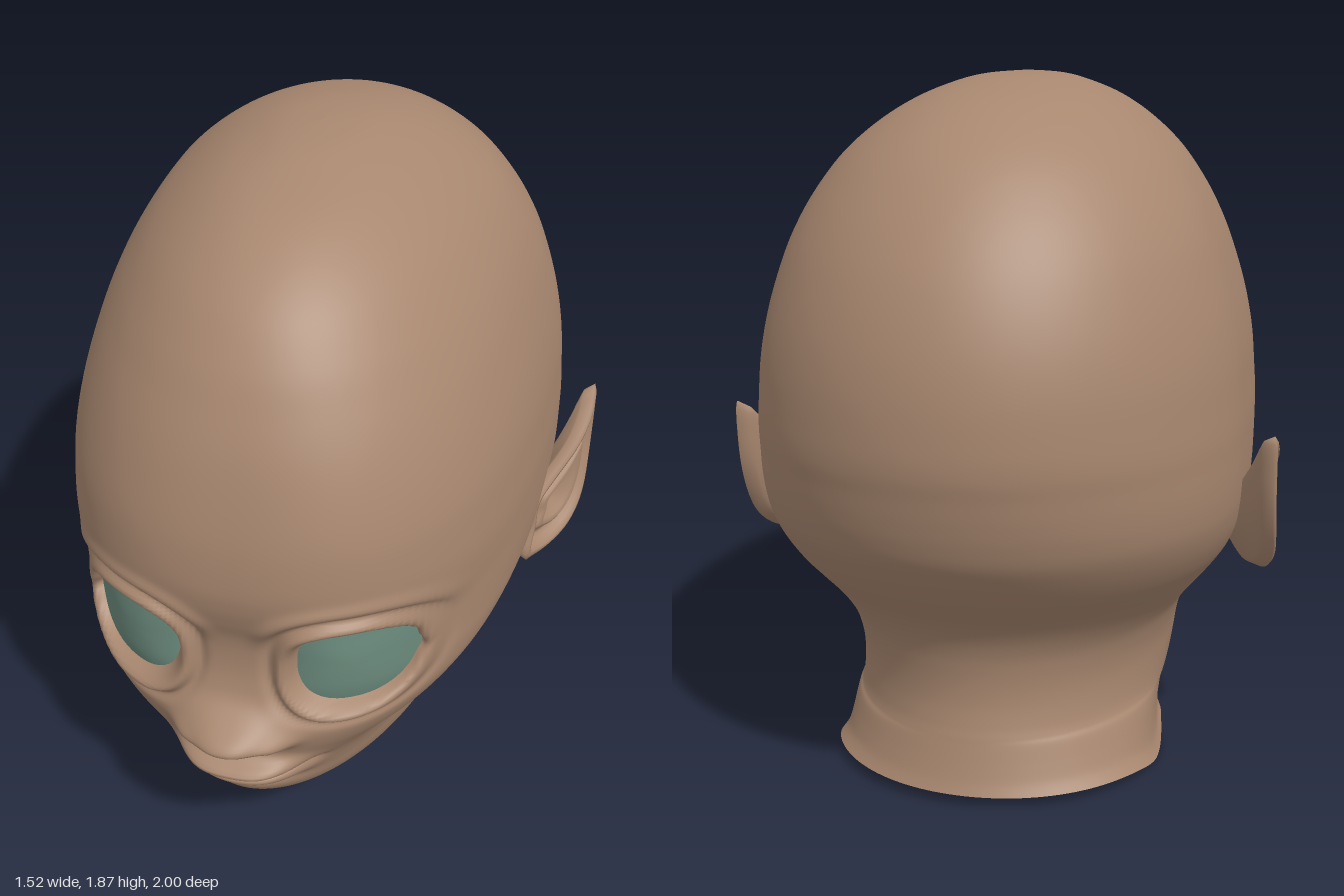
import * as THREE from 'three';

const { smoothstep } = THREE.MathUtils;
const bell = (v, s) => Math.exp(-((v / s) ** 2));

// Head cross-sections from crown to neck: height, front z, back z, half width
const SECTIONS = [
  [1.868, -0.02, -0.02, 0], [1.86, 0.13, -0.18, 0.1], [1.84, 0.25, -0.31, 0.175], [1.8, 0.42, -0.47, 0.265],
  [1.74, 0.55, -0.605, 0.355], [1.66, 0.655, -0.72, 0.44], [1.56, 0.735, -0.815, 0.51], [1.46, 0.79, -0.885, 0.56],
  [1.36, 0.835, -0.935, 0.595], [1.25, 0.87, -0.972, 0.625], [1.14, 0.895, -0.993, 0.645], [1.03, 0.905, -1, 0.655],
  [0.96, 0.9, -0.997, 0.66], [0.9, 0.885, -0.985, 0.661], [0.84, 0.865, -0.972, 0.661], [0.78, 0.858, -0.955, 0.659],
  [0.72, 0.86, -0.93, 0.653], [0.66, 0.872, -0.888, 0.641], [0.6, 0.887, -0.838, 0.618], [0.55, 0.892, -0.79, 0.588],
  [0.5, 0.888, -0.743, 0.552], [0.45, 0.878, -0.71, 0.512], [0.4, 0.865, -0.69, 0.478], [0.35, 0.852, -0.68, 0.458],
  [0.3, 0.84, -0.676, 0.446], [0.25, 0.818, -0.678, 0.44], [0.2, 0.765, -0.687, 0.435], [0.17, 0.68, -0.695, 0.432],
  [0.15, 0.54, -0.7, 0.43], [0.1, 0.415, -0.714, 0.432], [0.06, 0.35, -0.727, 0.44], [0.03, 0.3, -0.74, 0.458],
];

// Smooth cross-section at parameter t along the table
function section(t) {
  const last = SECTIONS.length - 1;
  const i = Math.min(Math.floor(t), last - 1), f = t - i;
  const key = (n) => SECTIONS[Math.max(0, Math.min(last, n))];
  const [y, zf, zb, w] = [0, 1, 2, 3].map((c) => {
    const p0 = key(i - 1)[c], p1 = key(i)[c], p2 = key(i + 1)[c], p3 = key(i + 2)[c];
    return p1 + 0.5 * f * (p2 - p0 + f * (2 * p0 - 5 * p1 + 4 * p2 - p3 + f * (3 * (p1 - p2) + p3 - p0)));
  });
  const n = 1.9 + 0.6 * smoothstep(y, 0.25, 0.6) - 0.4 * smoothstep(y, 1.1, 1.8);
  return { y, zf, zb, w: Math.max(0, w), zc: zb + (zf - zb) * 0.394, n };
}

// Plain front surface at (x, y), before the features are added
function faceZ(x, y) {
  let lo = 0, hi = SECTIONS.length - 1;
  for (let k = 0; k < 30; k++) {
    const mid = (lo + hi) / 2;
    if (section(mid).y > y) lo = mid; else hi = mid;
  }
  const s = section(lo);
  return s.zc + (s.zf - s.zc) * Math.max(0, 1 - Math.abs(x / s.w) ** s.n) ** (1 / s.n);
}

// Relief of the face: nose, lips and eye sockets
function relief(x, y) {
  const ax = Math.abs(x);
  let d = 0;
  // nose with wings and nostrils
  d += 0.108 * bell(y - 0.55, y > 0.55 ? 0.055 : 0.032) * Math.exp(-(Math.abs(x / 0.115) ** 2.5));
  d += 0.03 * bell(ax - 0.125, 0.045) * bell(y - 0.535, 0.03);
  d -= 0.025 * bell(ax - 0.06, 0.035) * bell(y - 0.508, 0.014);
  // lips, mouth line and fold over the chin
  const mouth = Math.exp(-((x / 0.165) ** 4));
  d += mouth * (0.075 * bell(y - 0.415, 0.027) + 0.046 * bell(y - 0.35, 0.026) - 0.035 * bell(y - 0.382, 0.009));
  d -= 0.014 * mouth * bell(y - 0.305, 0.022);
  d -= 0.015 * bell(ax - 0.19, 0.03) * bell(y - 0.382, 0.025);
  // sockets, lids and brow folds
  const ex = Math.abs((ax - 0.297) / 0.15), ey = Math.abs((y - 0.758) / 0.13);
  const r = (ex ** 2.4 + ey ** 2.4) ** (1 / 2.4);
  d -= 0.055 * (1 - smoothstep(r, 0.82, 1.06));
  d += 0.024 * bell(r - 1.14, 0.13);
  d -= 0.012 * bell(r - 1.38, 0.1);
  if (y > 0.76) d += 0.014 * bell(r - 1.6, 0.16) * smoothstep(y, 0.8, 0.92);
  d -= 0.025 * bell(ax - 0.445, 0.02) * bell(y - 0.745, 0.022);
  return d;
}

function buildGeometry(positions, index) {
  const g = new THREE.BufferGeometry();
  g.setAttribute('position', new THREE.Float32BufferAttribute(positions, 3));
  g.setIndex(index);
  g.computeVertexNormals();
  return g;
}

// Triangles joining closed loops of points
function loopIndex(rows, cols) {
  const index = [];
  for (let i = 0; i < rows - 1; i++) {
    for (let j = 0; j < cols; j++) {
      const k = (j + 1) % cols;
      const a = i * cols + j, b = a + cols, c = i * cols + k, d = c + cols;
      index.push(a, b, c, b, d, c);
    }
  }
  return index;
}

function headGeometry() {
  const steps = 7, cols = 200, rows = (SECTIONS.length - 1) * steps + 1, pos = [];
  for (let i = 0; i < rows; i++) {
    const s = section(i / steps);
    for (let j = 0; j < cols; j++) {
      // columns crowd towards the face
      const u = (j / cols) * Math.PI * 2, a = u - 0.5 * Math.sin(u);
      const sn = Math.sin(a), cs = Math.cos(a), n = cs > 0 ? s.n : 2;
      const r = (Math.abs(sn) ** n + Math.abs(cs) ** n) ** (-1 / n);
      const x = s.w * sn * r;
      let z = s.zc + (cs > 0 ? s.zf - s.zc : s.zc - s.zb) * cs * r;
      if (cs > 0 && s.y > 0.2 && s.y < 1.2) z += relief(x, s.y) * smoothstep(cs, 0, 0.25);
      // ragged neck edge
      const ragged = smoothstep(z, -0.25, -0.1) * (1 - smoothstep(z, 0.2, 0.29));
      const wave = 0.022 * ragged * (1 + Math.cos((z - 0.19) * 37)) - 0.03 * bell(z + 0.31, 0.14);
      pos.push(x, s.y + wave * (1 - smoothstep(s.y, 0.03, 0.13)), z);
    }
  }
  return buildGeometry(pos, loopIndex(rows, cols));
}

// Domed eye that follows the face and tucks under the lids
function eyeGeometry() {
  const rows = 13, cols = 48, pos = [];
  for (let i = 0; i < rows; i++) {
    const f = i / (rows - 1);
    for (let j = 0; j < cols; j++) {
      const a = (j / cols) * Math.PI * 2, c = Math.cos(a), s = Math.sin(a);
      const r = f * (Math.abs(c) ** 2.5 + Math.abs(s) ** 2.5) ** (-1 / 2.5);
      const x = 0.297 + 0.15 * c * r, y = 0.758 + 0.13 * s * r;
      pos.push(x, y, faceZ(x, y) + 0.002 - 0.034 * f * f);
    }
  }
  return buildGeometry(pos, loopIndex(rows, cols));
}

// Pointed ear: cupped outer face, rolled rim, tapering back
function earGeometry() {
  const outline = new THREE.CatmullRomCurve3([
    [0.03, 0.57], [0.0, 0.66], [-0.01, 0.735], [-0.1, 0.785], [-0.22, 0.85], [-0.33, 0.93], [-0.375, 0.955],
    [-0.378, 0.86], [-0.355, 0.74], [-0.29, 0.615], [-0.2, 0.54], [-0.1, 0.52], [-0.02, 0.54],
  ].map(([z, y]) => new THREE.Vector3(0, y, z)), true, 'centripetal');
  const cols = 72, steps = 16, pos = [], cz = -0.16, cy = 0.68;
  const edge = outline.getPoints(cols).slice(0, cols);
  for (let i = 0; i <= steps * 2; i++) {
    const back = i > steps, f = back ? (2 * steps - i) / steps : i / steps;
    for (const p of edge) {
      const z = cz + (p.z - cz) * f, y = cy + (p.y - cy) * f;
      let x = 0.63 + 0.12 * smoothstep(-z, -0.04, 0.32);
      if (back) x -= 0.015 + 0.1 * (1 - f) ** 0.8;
      else x += 0.014 * bell(f - 0.9, 0.09) - 0.026 * bell(f - 0.66, 0.13) + 0.01 * bell(f - 0.45, 0.09) - 0.035 * bell(f, 0.3);
      pos.push(x, y, z);
    }
  }
  return buildGeometry(pos, loopIndex(steps * 2 + 1, cols).reverse());
}

export function createModel() {
  const skin = new THREE.MeshStandardMaterial({ color: 0xa8876f, side: THREE.DoubleSide });
  skin.name = 'skin';
  const eyeColour = new THREE.MeshStandardMaterial({ color: 0x6b8a7c, side: THREE.DoubleSide });
  eyeColour.name = 'eye green';

  const model = new THREE.Group();
  model.name = 'head';
  const add = (name, geometry, material, side = 1) => {
    const mesh = new THREE.Mesh(geometry, material);
    mesh.name = name;
    mesh.scale.x = side;
    model.add(mesh);
  };
  add('headAndNeck', headGeometry(), skin);
  const eye = eyeGeometry(), ear = earGeometry();
  // outward winding for the ear shell
  const corner = new THREE.Vector3().fromBufferAttribute(ear.attributes.normal, 72 * 4);
  if (corner.x < 0) {
    ear.setIndex([...ear.index.array].reverse());
    ear.computeVertexNormals();
  }
  for (const [label, side] of [['left', 1], ['right', -1]]) {
    add(label + 'Eye', eye, eyeColour, side);
    add(label + 'Ear', ear, skin, side);
  }
  return model;
}
